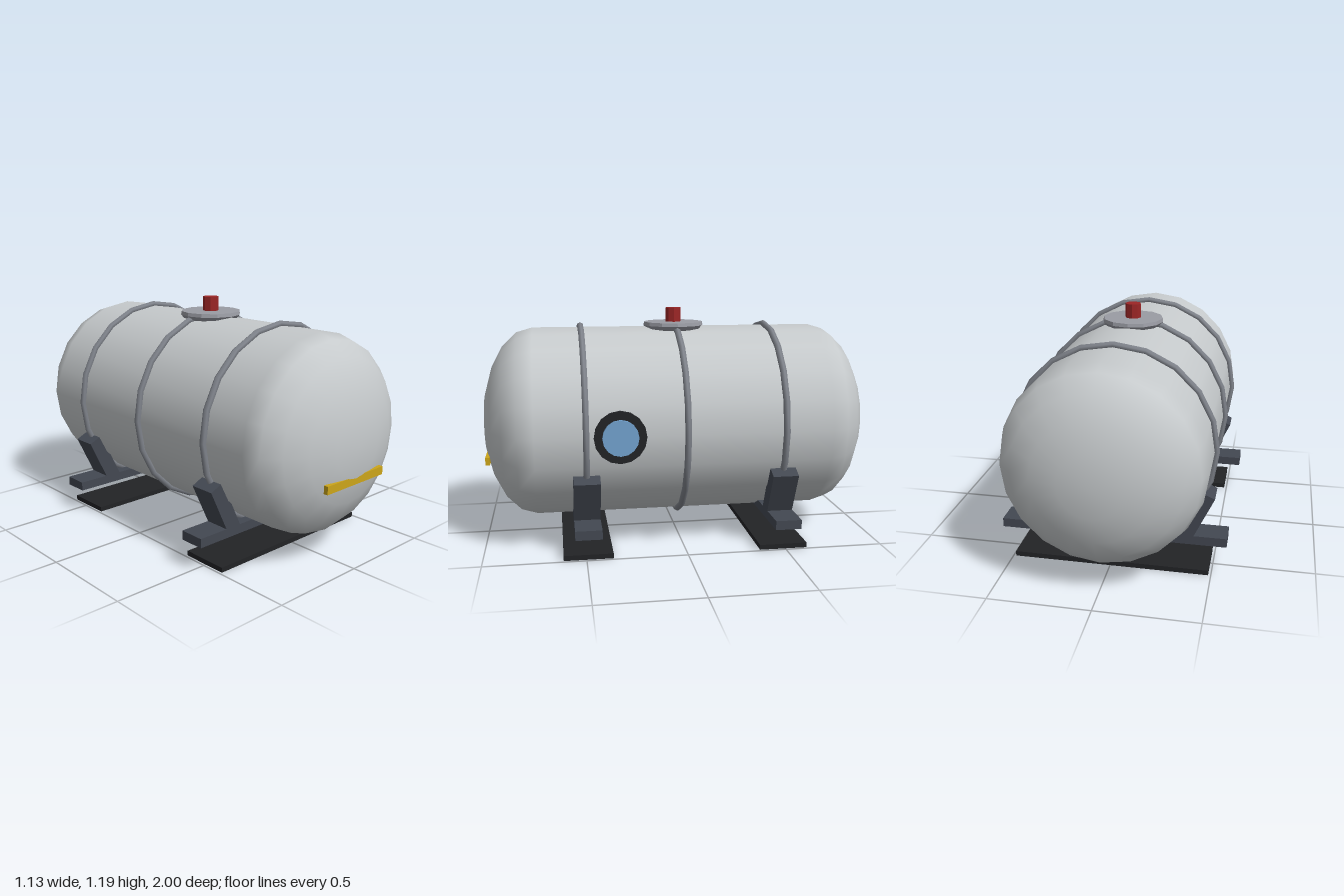
import * as THREE from 'three';

const R = 0.488, CY = 0.603, STRAIGHT = 0.735, SADDLE_Z = 0.49;

const mat = (color, flatShading = false) => new THREE.MeshStandardMaterial({ color, flatShading });

export function createModel() {
  const model = new THREE.Group();
  model.name = 'storageTank';

  const shell = mat(0xc6cacc), band = mat(0x80848c), steel = mat(0x434852),
    rubber = mat(0x222326), lid = mat(0x9a9ca4, true), red = mat(0x9c2626, true),
    yellow = mat(0xcca51a), glass = mat(0x72a3d0);

  const add = (name, geometry, material, x = 0, y = 0, z = 0, parent = model) => {
    const mesh = new THREE.Mesh(geometry, material);
    mesh.name = name;
    mesh.position.set(x, y, z);
    parent.add(mesh);
    return mesh;
  };

  // Tank barrel, lying along z
  const barrel = new THREE.CylinderGeometry(R, R, 2 * STRAIGHT, 20, 1, true).rotateX(Math.PI / 2);
  add('barrel', barrel, shell, 0, CY, 0);

  // Flattened domes closing both ends
  for (const s of [1, -1]) {
    const dome = new THREE.SphereGeometry(1, 20, 5, 0, Math.PI * 2, 0, Math.PI / 2);
    dome.scale(R, 1 - STRAIGHT, R).rotateX(s * Math.PI / 2);
    add(s > 0 ? 'frontDome' : 'backDome', dome, shell, 0, CY, s * STRAIGHT);
  }

  // Hoops around the barrel
  for (const z of [-SADDLE_Z, 0, SADDLE_Z]) {
    add('hoop', new THREE.TorusGeometry(0.495, 0.017, 6, 20), band, 0, CY, z);
  }

  // Filler hatch with rounded underside, and its valve
  const profile = [[0, 1.064], [0.11, 1.067], [0.142, 1.078], [0.158, 1.096], [0.155, 1.114], [0, 1.114]]
    .map(([x, y]) => new THREE.Vector2(x, y));
  add('hatch', new THREE.LatheGeometry(profile, 12), lid);
  add('valve', new THREE.CylinderGeometry(0.04, 0.04, 0.087, 8), red, 0, 1.1435, 0);

  // Porthole on the left side
  const disc = (r, depth) => new THREE.CylinderGeometry(r, r, depth, 16).rotateZ(-Math.PI / 2);
  add('portholeRim', disc(0.128, 0.05), rubber, 0.466, CY, 0.327);
  add('portholeGlass', disc(0.088, 0.05), glass, 0.482, CY, 0.327);

  // Warning strip set into the front dome
  add('frontStrip', new THREE.BoxGeometry(0.404, 0.04, 0.022), yellow, 0, 0.438, 0.9745);

  // Saddles: cross beam, two slanted struts and a ground plate each
  for (const z of [SADDLE_Z, -SADDLE_Z]) {
    const saddle = new THREE.Group();
    saddle.name = z > 0 ? 'frontSaddle' : 'backSaddle';
    saddle.position.z = z;
    model.add(saddle);
    add('crossBeam', new THREE.BoxGeometry(1.134, 0.046, 0.13), steel, 0, 0.152, 0, saddle);
    for (const s of [1, -1]) {
      const strut = add('strut', new THREE.BoxGeometry(0.08, 0.28, 0.13), steel, s * 0.406, 0.272, 0, saddle);
      strut.rotation.z = -s * 0.44;
    }
    add('groundPlate', new THREE.BoxGeometry(0.974, 0.025, 0.243), rubber, 0, 0.0125, 0, saddle);
  }

  return model;
}
